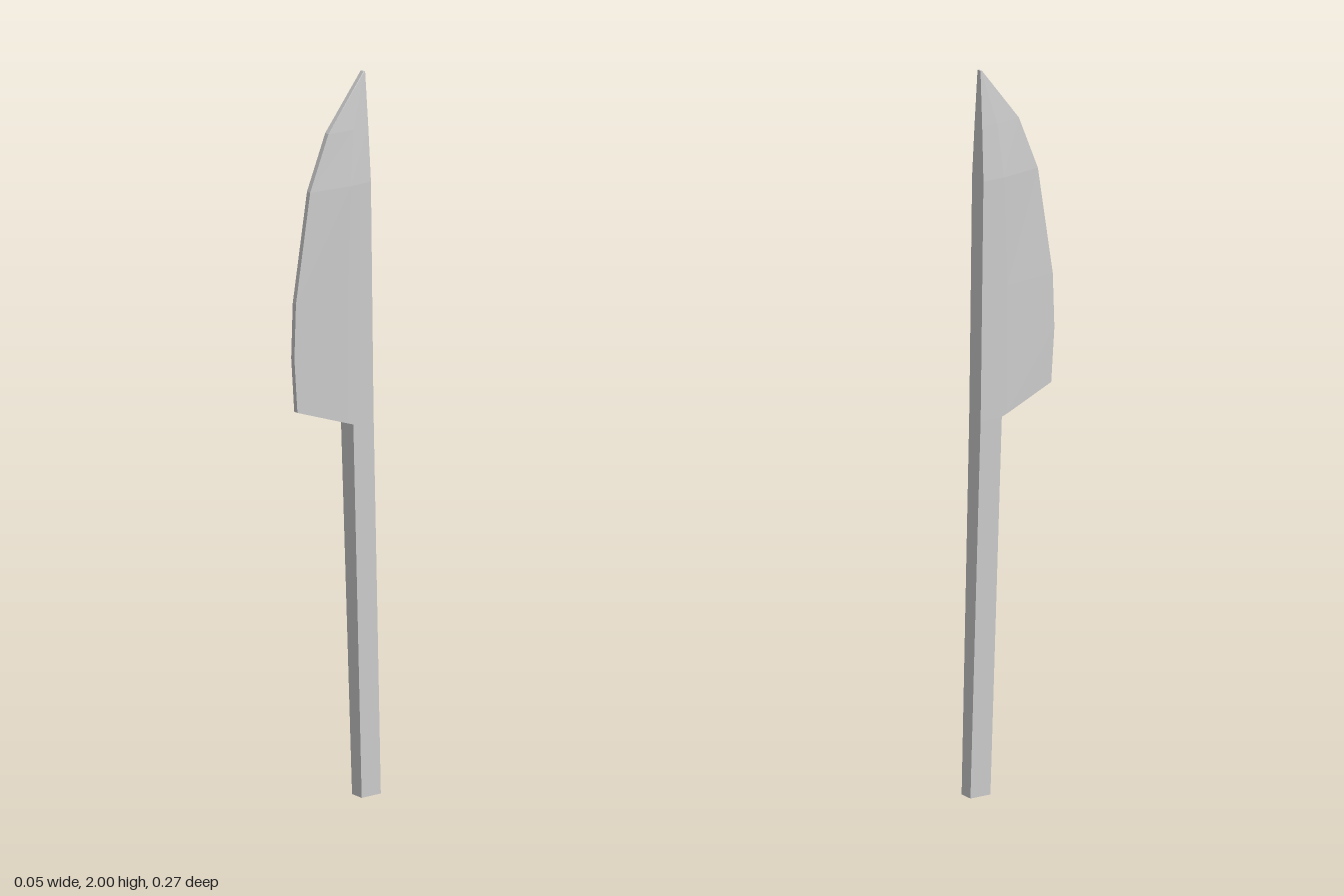
import * as THREE from 'three';

// A cross-section: three mirrored stations (edge, ridge, spine), each [half width, y, z],
// ordered counter-clockwise seen from above.
function section(edge, ridge, spine) {
  const half = [edge, ridge, spine];
  const mirrored = half.map(([x, y, z]) => [-x, y, z]).reverse();
  return [...half, ...mirrored];
}

// Skins a list of sections, with optional end caps.
function loft(name, sections, capBottom, capTop) {
  const n = sections[0].length;
  const index = [];
  for (let s = 0; s < sections.length - 1; s++) {
    for (let i = 0; i < n; i++) {
      const a = s * n + i, b = s * n + (i + 1) % n;
      index.push(a, b, b + n, a, b + n, a + n);
    }
  }
  const last = (sections.length - 1) * n;
  for (let i = 1; i < n - 1; i++) {
    if (capBottom) index.push(0, i + 1, i);
    if (capTop) index.push(last, last + i, last + i + 1);
  }
  const geometry = new THREE.BufferGeometry();
  geometry.setAttribute('position', new THREE.Float32BufferAttribute(sections.flat(2), 3));
  geometry.setIndex(index);
  geometry.computeVertexNormals();
  const material = new THREE.MeshStandardMaterial({ color: 0xcccccc, flatShading: true });
  const mesh = new THREE.Mesh(geometry, material);
  mesh.name = name;
  return mesh;
}

export function createModel() {
  const group = new THREE.Group();
  group.name = 'knife';

  // Where the handle runs into the blade
  const neck = section([0.007, 1.04, -0.042], [0.027, 1.04, -0.042], [0.027, 1.04, -0.109]);

  // Slim tapering handle, leaning slightly back towards its foot
  const foot = section([0.007, 0, -0.074], [0.021, 0, -0.074], [0.021, 0, -0.137]);
  group.add(loft('handle', [foot, neck], true, false));

  // Blade: sloping heel, thick spine, curved narrow cutting edge, pointed tip
  const blade = [
    neck,
    section([0.007, 1.1, 0.127], [0.027, 1.046, -0.025], [0.027, 1.1, -0.108]),
    section([0.007, 1.25, 0.137], [0.027, 1.25, -0.025], [0.027, 1.25, -0.106]),
    section([0.007, 1.4, 0.132], [0.027, 1.4, -0.025], [0.027, 1.4, -0.104]),
    section([0.007, 1.7, 0.085], [0.027, 1.7, -0.035], [0.027, 1.7, -0.1]),
    section([0.007, 1.85, 0.025], [0.017, 1.85, -0.05], [0.018, 1.85, -0.098]),
    section([0.006, 2, -0.091], [0.007, 2, -0.093], [0.007, 2, -0.096]),
  ];
  group.add(loft('blade', blade, false, true));

  return group;
}
